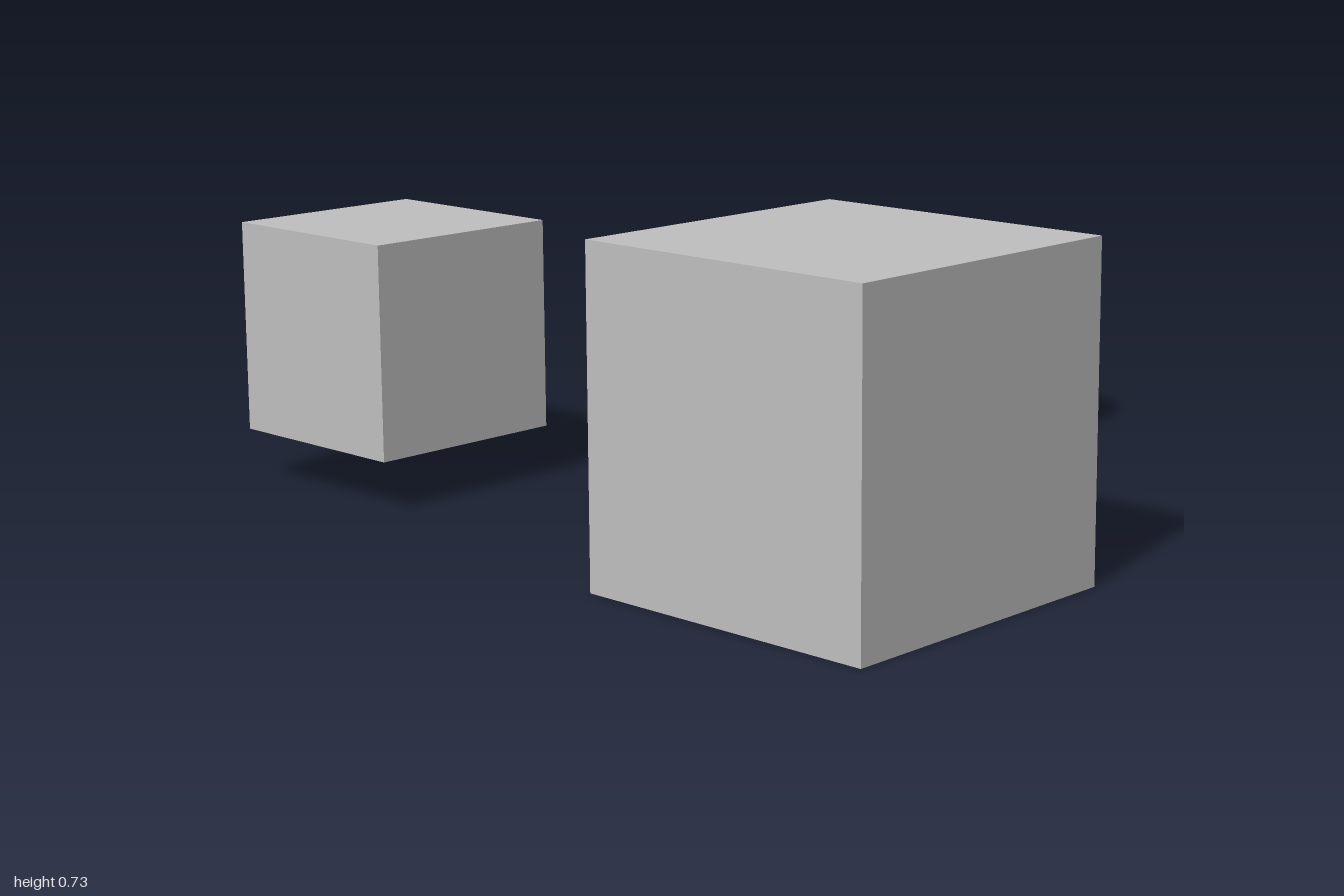
import * as THREE from 'three';
import { toCreasedNormals } from 'three/addons/utils/BufferGeometryUtils.js';

export function createModel() {
  const group = new THREE.Group();
  const grey = new THREE.MeshStandardMaterial({ name: 'grey', color: 0xc0c0c0 });
  const brown = new THREE.MeshStandardMaterial({ name: 'brown', color: 0x8d766c, side: THREE.DoubleSide });

  // Plain cubes, placed by centre
  function cube(name, size, x, y, z) {
    const mesh = new THREE.Mesh(new THREE.BoxGeometry(size, size, size), grey);
    mesh.name = name;
    mesh.position.set(x, y, z);
    group.add(mesh);
  }
  cube('largeCube', 0.725, -0.55, 0.3625, 0.6375);
  cube('smallCube', 0.49, -0.552, 0.365, -0.755);

  // Ringed canister: an open-bottomed turned shell, as [radius, height]
  const profile = [
    [0.192, 0.154], [0.192, 0.18], [0.196, 0.182], [0.196, 0.198], [0.192, 0.202], // foot band
    [0.192, 0.268], [0.182, 0.278], [0.180, 0.290],                              // lower wall
    [0.185, 0.295], [0.185, 0.302], [0.178, 0.306], [0.178, 0.312],              // waist rings
    [0.184, 0.315], [0.184, 0.320], [0.176, 0.324], [0.184, 0.330],
    [0.192, 0.334], [0.192, 0.356], [0.187, 0.360],                              // upper band
    [0.187, 0.424], [0.194, 0.426], [0.194, 0.448], [0.163, 0.448],              // shoulder rim
    [0.157, 0.420], [0.120, 0.510], [0.072, 0.510],                              // raised collar
    [0.070, 0.465], [0, 0.465],                                                  // recessed centre
  ].map(([r, y]) => new THREE.Vector2(r, y));
  const canister = new THREE.Mesh(
    toCreasedNormals(new THREE.LatheGeometry(profile, 48), Math.PI / 7), brown);
  canister.name = 'canister';
  canister.position.x = 0.712;
  group.add(canister);

  return group;
}
